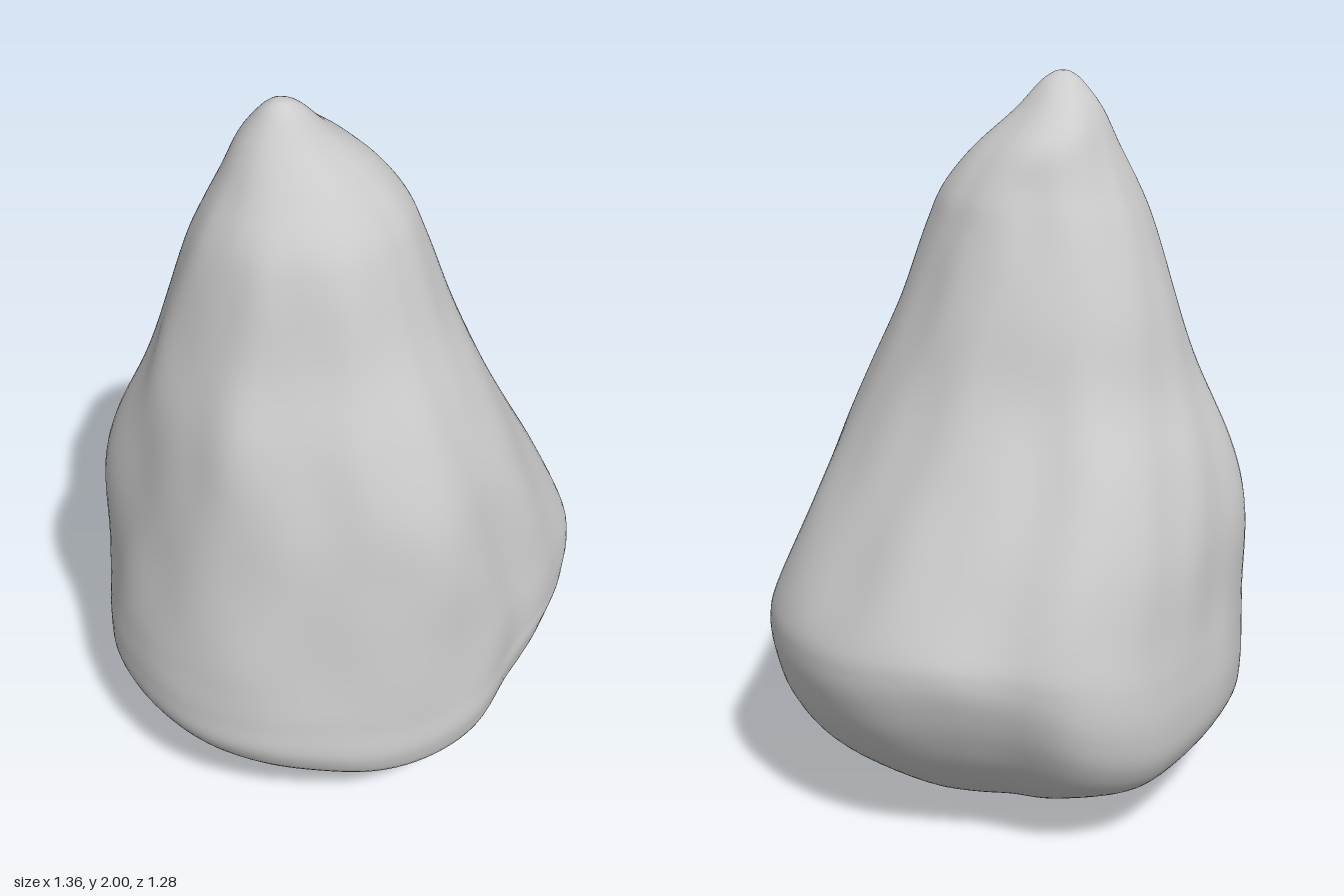
import * as THREE from 'three';

// Height, left edge, right edge, back edge, front edge of each cross-section
const SECTIONS = [
  [0.0, -0.05, 0.05, -0.05, 0.05],
  [0.01, -0.12, 0.13, -0.12, 0.12],
  [0.04, -0.22, 0.24, -0.22, 0.22],
  [0.1, -0.38, 0.39, -0.38, 0.39],
  [0.2, -0.585, 0.54, -0.545, 0.59],
  [0.3, -0.672, 0.62, -0.615, 0.635],
  [0.4, -0.68, 0.66, -0.635, 0.633],
  [0.5, -0.668, 0.675, -0.63, 0.628],
  [0.6, -0.65, 0.655, -0.615, 0.62],
  [0.8, -0.605, 0.55, -0.585, 0.6],
  [1.0, -0.565, 0.44, -0.52, 0.56],
  [1.2, -0.525, 0.345, -0.43, 0.48],
  [1.4, -0.465, 0.27, -0.37, 0.385],
  [1.6, -0.415, 0.2, -0.29, 0.315],
  [1.7, -0.38, 0.16, -0.24, 0.27],
  [1.8, -0.325, 0.085, -0.185, 0.195],
  [1.9, -0.27, -0.03, -0.125, 0.105],
  [1.97, -0.22, -0.1, -0.065, 0.05],
  [1.995, -0.19, -0.14, -0.03, 0.02],
  [2.0, -0.175, -0.16, -0.012, 0.005],
];

// Outline of the base every 15 degrees, from +x towards +z, relative to an ellipse
const OUTLINE = [
  1, 1.02, 1.055, 1.06, 1.02, 0.98, 1, 1, 0.995, 0.985, 1, 1.01,
  1, 0.99, 0.98, 0.97, 0.96, 0.97, 0.985, 1.035, 1.045, 0.965, 0.975, 1,
];

const spline = (p0, p1, p2, p3, t) =>
  p1 + 0.5 * t * (p2 - p0 + t * (2 * p0 - 5 * p1 + 4 * p2 - p3 + t * (3 * (p1 - p2) + p3 - p0)));

function sectionAt(s) {
  const last = SECTIONS.length - 1;
  const i = Math.min(Math.floor(s), last - 1);
  const row = (k) => SECTIONS[THREE.MathUtils.clamp(k, 0, last)];
  return row(i).map((_, c) => spline(row(i - 1)[c], row(i)[c], row(i + 1)[c], row(i + 2)[c], s - i));
}

function outlineAt(angle) {
  const n = OUTLINE.length;
  const f = (angle / (2 * Math.PI)) * n;
  const i = Math.floor(f);
  const at = (k) => OUTLINE[(k + n) % n];
  return spline(at(i - 1), at(i), at(i + 1), at(i + 2), f - i);
}

// Smooth bump centred on an angle (degrees) and a height
function bump(angle, y, deg, width, y0, height) {
  let d = angle - THREE.MathUtils.degToRad(deg);
  d = Math.atan2(Math.sin(d), Math.cos(d)) / THREE.MathUtils.degToRad(width);
  const h = (y - y0) / height;
  return Math.exp(-d * d - h * h);
}

// Vertical grooves, ridges and weathering
function relief(a, y) {
  const fade = THREE.MathUtils.smoothstep(y, 0.2, 0.6) * (1 - THREE.MathUtils.smoothstep(y, 1.6, 1.95));
  const wear = Math.sin(7 * a + 2.1 * y) * Math.sin(5 * y + 2 * a)
    + 0.6 * Math.sin(13 * a - 3 * y) * Math.sin(9 * y + 1 + 3 * a);
  return 0.009 * wear * fade
    - 0.03 * bump(a, y, 77, 10, 0.75, 0.4)
    - 0.04 * bump(a, y, 45, 16, 0.95, 0.35)
    - 0.04 * bump(a, y, 132, 16, 1.3, 0.4)
    + 0.03 * bump(a, y, 160, 14, 1.2, 0.5)
    + 0.04 * bump(a, y, 200, 15, 1.4, 0.35)
    - 0.03 * bump(a, y, 318, 20, 1.15, 0.3)
    + 0.115 * bump(a, y, 225, 19, 0.92, 0.3)
    + 0.27 * bump(a, y, 315, 35, 1.87, 0.1);
}

// The lower rim dips at the front and back, and rises at the corners
function rim(a, y) {
  return 0.1 * bump(a, y, 56, 25, 0.28, 0.18)
    - 0.04 * bump(a, y, 115, 30, 0.3, 0.13)
    - 0.05 * bump(a, y, 225, 25, 0.35, 0.18)
    - 0.05 * bump(a, y, 278, 22, 0.3, 0.18)
    + 0.07 * bump(a, y, 328, 24, 0.36, 0.2);
}

function rockGeometry(rings = 114, sides = 128) {
  const positions = [];
  const index = [];
  for (let r = 0; r <= rings; r++) {
    const [y, x0, x1, z0, z1] = sectionAt((r / rings) * (SECTIONS.length - 1));
    const blend = 1 - 0.6 * THREE.MathUtils.smoothstep(y, 0.6, 1.5);
    for (let k = 0; k < sides; k++) {
      const a = (k / sides) * 2 * Math.PI;
      const scale = 1 + (outlineAt(a) - 1) * blend + relief(a, y);
      positions.push(
        (x0 + x1) / 2 + ((x1 - x0) / 2) * scale * Math.cos(a),
        y + rim(a, y) * THREE.MathUtils.smoothstep(y, 0, 0.2),
        (z0 + z1) / 2 + ((z1 - z0) / 2) * scale * Math.sin(a),
      );
      if (r < rings) {
        const n = (k + 1) % sides;
        const p = r * sides + k, q = r * sides + n;
        index.push(p, p + sides, q, q, p + sides, q + sides);
      }
    }
  }
  // close the bottom and the tip
  const bottom = positions.length / 3;
  positions.push(0, 0, 0, -0.168, 2, 0);
  for (let k = 0; k < sides; k++) {
    const n = (k + 1) % sides;
    index.push(bottom, k, n, bottom + 1, rings * sides + n, rings * sides + k);
  }
  const geometry = new THREE.BufferGeometry();
  geometry.setAttribute('position', new THREE.Float32BufferAttribute(positions, 3));
  geometry.setIndex(index);
  geometry.computeVertexNormals();
  return geometry;
}

export function createModel() {
  const group = new THREE.Group();
  group.name = 'rock';
  const boulder = new THREE.Mesh(rockGeometry(), new THREE.MeshStandardMaterial({ color: 0xcccccc }));
  boulder.name = 'boulder';
  group.add(boulder);
  return group;
}
